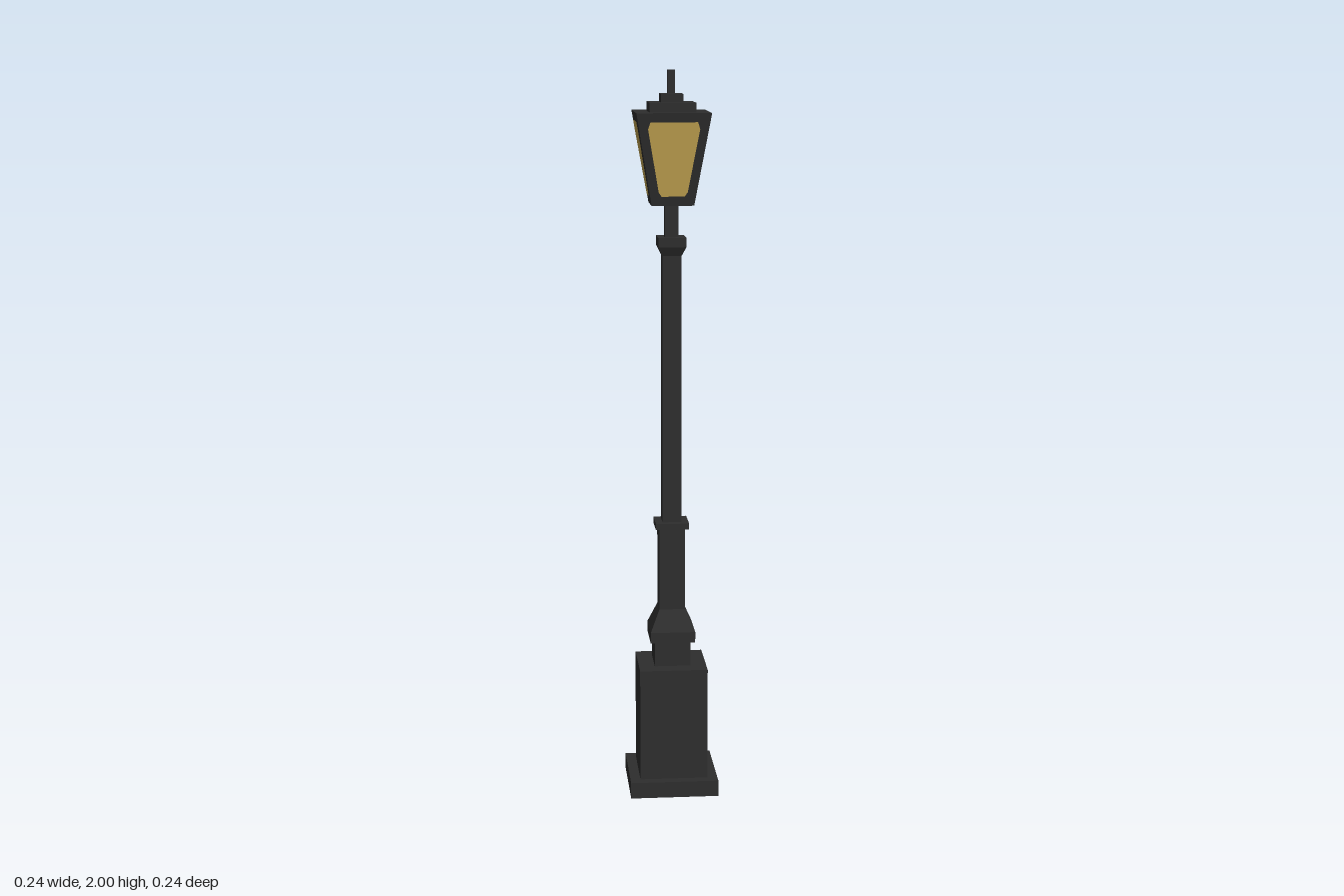
import * as THREE from 'three';

// Square block or frustum between two heights, given half-widths at bottom and top
function squareBlock(name, y0, y1, bottom, top, material) {
  const geo = new THREE.CylinderGeometry(top * Math.SQRT2, bottom * Math.SQRT2, y1 - y0, 4)
    .rotateY(Math.PI / 4)
    .translate(0, (y0 + y1) / 2, 0);
  const mesh = new THREE.Mesh(geo, material);
  mesh.name = name;
  return mesh;
}

export function createModel() {
  const iron = new THREE.MeshStandardMaterial({ color: 0x2e2e2e, flatShading: true });
  iron.name = 'dark iron';
  const amber = new THREE.MeshStandardMaterial({ color: 0xc6a753, flatShading: true });
  amber.name = 'amber glass';

  const model = new THREE.Group();
  model.name = 'streetLamp';

  // Lantern body dimensions
  const low = 1.643, high = 1.89, lowHalf = 0.057, highHalf = 0.1;

  // Square sections from the ground up: name, y0, y1, bottom half-width, top half-width
  const sections = [
    ['plinth', 0, 0.045, 0.122, 0.122],
    ['pedestal', 0.045, 0.36, 0.094, 0.094],
    ['neck', 0.36, 0.43, 0.05, 0.05],
    ['flareBase', 0.43, 0.46, 0.062, 0.062],
    ['flare', 0.46, 0.52, 0.062, 0.036],
    ['lowerPost', 0.52, 0.75, 0.036, 0.036],
    ['postRing', 0.75, 0.767, 0.046, 0.046],
    ['upperPost', 0.767, 1.505, 0.026, 0.026],
    ['collarFlare', 1.505, 1.53, 0.026, 0.038],
    ['collar', 1.53, 1.555, 0.038, 0.038],
    ['lanternStem', 1.555, low, 0.018, 0.018],
    ['lanternFrame', low, high, lowHalf, highHalf],
    ['roofTier', high, 1.915, 0.062, 0.062],
    ['roofCap', 1.915, 1.937, 0.03, 0.03],
    ['finial', 1.937, 2, 0.01, 0.01],
  ];
  for (const s of sections) model.add(squareBlock(...s, iron));

  // Glass panel with clipped corners, leaned onto the sloping lantern face
  const half = [[0.031, 1.668], [0.039, 1.68], [0.069, 1.848], [0.063, 1.866]];
  const outline = [...half, ...half.map(([x, y]) => [-x, y]).reverse()];
  const glass = new THREE.ShapeGeometry(new THREE.Shape(outline.map(([x, y]) => new THREE.Vector2(x, y))));
  const pos = glass.attributes.position;
  for (let i = 0; i < pos.count; i++) {
    const t = (pos.getY(i) - low) / (high - low);
    pos.setZ(i, lowHalf + t * (highHalf - lowHalf) + 0.002);
  }
  glass.computeVertexNormals();
  for (let i = 0; i < 4; i++) {
    const pane = new THREE.Mesh(glass, amber);
    pane.name = 'glassPane';
    pane.rotation.y = (i * Math.PI) / 2;
    model.add(pane);
  }
  return model;
}
